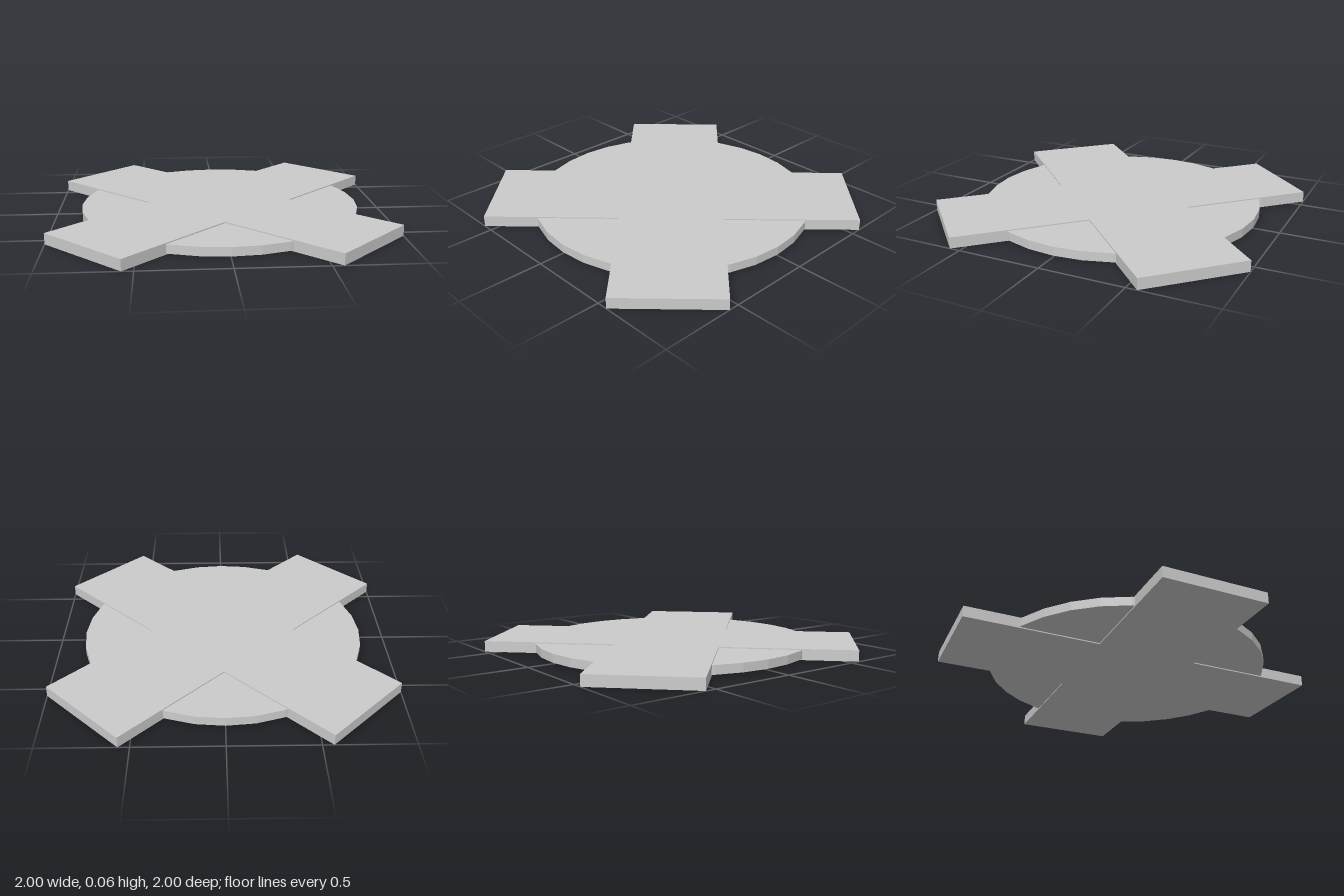
import * as THREE from 'three';

export function createModel() {
  const group = new THREE.Group();
  const material = new THREE.MeshStandardMaterial({ color: 0xcccccc, flatShading: true });
  const height = 0.065;
  const outer = 1, inner = 0.437; // arm tip and notch positions

  // Diagonal cross: one quarter of the outline, repeated around the centre
  const outline = [];
  for (let i = 0; i < 4; i++) {
    for (const [x, y] of [[inner, 0], [outer, outer - inner], [outer - inner, outer]]) {
      outline.push(new THREE.Vector2(x, y).rotateAround(new THREE.Vector2(), i * Math.PI / 2));
    }
  }
  const crossGeometry = new THREE.ExtrudeGeometry(new THREE.Shape(outline), {
    depth: height, bevelEnabled: false,
  });
  crossGeometry.rotateX(-Math.PI / 2);
  const cross = new THREE.Mesh(crossGeometry, material);
  cross.name = 'crossArms';
  group.add(cross);

  // Slightly thinner faceted disc set into the cross
  const disc = new THREE.Mesh(new THREE.CylinderGeometry(0.846, 0.846, 0.052, 32), material);
  disc.name = 'disc';
  disc.position.y = height / 2;
  group.add(disc);

  return group;
}
